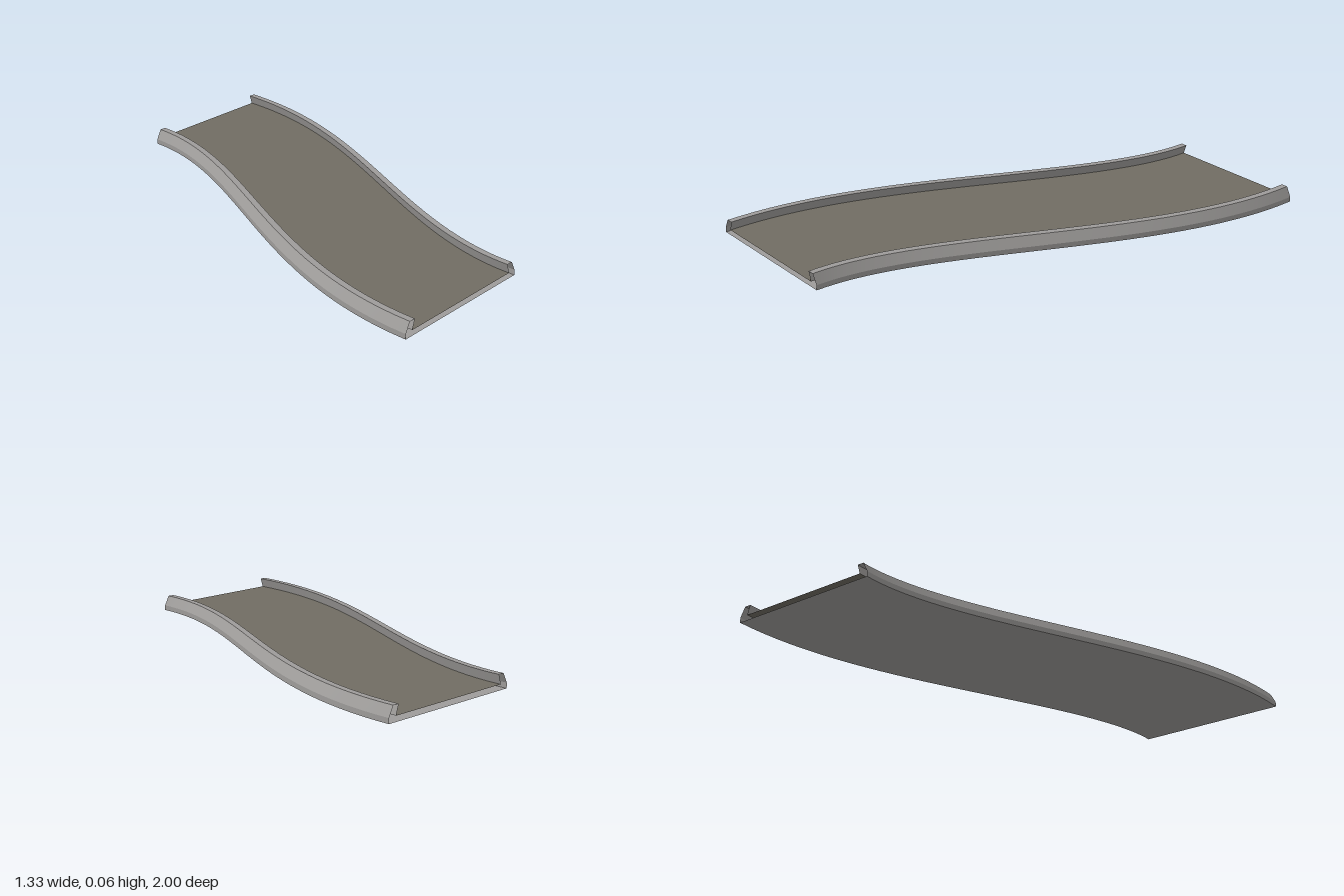
import * as THREE from 'three';

const SEGMENTS = 40;
const HALF = 0.333; // half width of the road, and half of its sideways shift

// Point on the S-shaped path (t from front to back), offset sideways at a right angle
function pathPoint(t, side, y) {
  const x = HALF * (2 * t * t * (3 - 2 * t) - 1);
  const slope = HALF * 6 * t * (1 - t); // sideways shift per unit travelled towards -z
  const len = Math.hypot(1, slope);
  return [x + side / len, y, 1 - 2 * t + (side * slope) / len];
}

// Sweep an open section along the path; each section edge stays crisp
function sweep(section, material, name) {
  const positions = [];
  const index = [];
  for (let k = 0; k < section.length - 1; k++) {
    const start = positions.length / 3;
    for (let i = 0; i <= SEGMENTS; i++) {
      const t = i / SEGMENTS;
      positions.push(...pathPoint(t, ...section[k]), ...pathPoint(t, ...section[k + 1]));
      if (i < SEGMENTS) {
        const a = start + i * 2;
        index.push(a, a + 1, a + 2, a + 1, a + 3, a + 2);
      }
    }
  }
  const geometry = new THREE.BufferGeometry();
  geometry.setAttribute('position', new THREE.Float32BufferAttribute(positions, 3));
  geometry.setIndex(index);
  geometry.computeVertexNormals();
  const mesh = new THREE.Mesh(geometry, material);
  mesh.name = name;
  return mesh;
}

export function createModel() {
  const group = new THREE.Group();
  group.name = 'curvedRoad';

  const concrete = new THREE.MeshStandardMaterial({ color: 0x9e9c9a, side: THREE.DoubleSide });
  concrete.name = 'concrete grey';
  const asphalt = new THREE.MeshStandardMaterial({ color: 0x716d63, side: THREE.DoubleSide });
  asphalt.name = 'asphalt';

  // Barrier section: outer foot, sloped outer face, flat top, overhanging inner face
  const barrier = [[-HALF, 0], [-HALF, 0.022], [-0.311, 0.064], [-0.283, 0.064], [-0.296, 0.023]];
  const mirrored = barrier.map(([s, y]) => [-s, y]).reverse();

  group.add(sweep(barrier, concrete, 'rightBarrier'));
  group.add(sweep(mirrored, concrete, 'leftBarrier'));
  // Road surface between the barriers
  group.add(sweep([[-0.296, 0.023], [0.296, 0.023]], asphalt, 'roadSurface'));
  // Underside, with the ends of the hollow deck left open
  group.add(sweep([[HALF, 0], [-HALF, 0]], concrete, 'underside'));
  return group;
}
